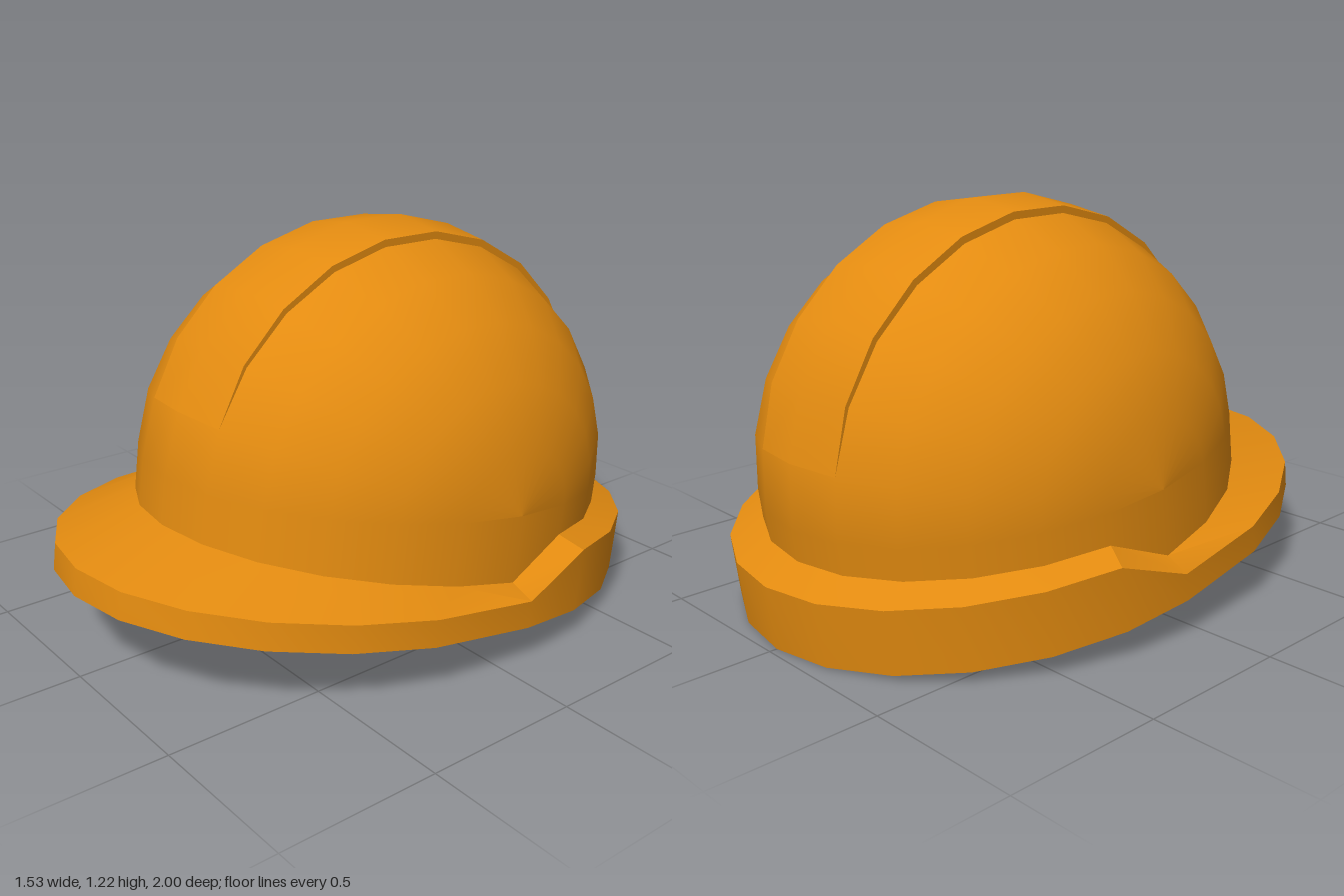
import * as THREE from 'three';
import { toCreasedNormals } from 'three/addons/utils/BufferGeometryUtils.js';

const STEP = Math.PI / 12;                // every curve turns in 15 degree steps
const HALF_WIDTH = 0.69, HEIGHT = 0.76, HALF_LENGTH = 0.8;
const DOME_Y = 0.327, DOME_Z = -0.08;     // dome centre above the rim plane

// Quad strip surface: fn(i, j) returns [x, y, z] for row i and column j
function grid(rows, cols, fn, crease) {
  const pos = [], index = [];
  for (let i = 0; i <= rows; i++)
    for (let j = 0; j <= cols; j++) pos.push(...fn(i, j));
  const id = (i, j) => i * (cols + 1) + j;
  for (let i = 0; i < rows; i++)
    for (let j = 0; j < cols; j++) {
      const a = id(i, j), b = id(i + 1, j), c = id(i + 1, j + 1), d = id(i, j + 1);
      index.push(a, b, d, b, c, d);
    }
  const g = new THREE.BufferGeometry();
  g.setAttribute('position', new THREE.Float32BufferAttribute(pos, 3));
  g.setIndex(index);
  return toCreasedNormals(g, crease);
}

export function createModel() {
  const orange = new THREE.MeshStandardMaterial({ color: 0xe38b10, side: THREE.DoubleSide });
  orange.name = 'safety orange';

  const hat = new THREE.Group();
  hat.name = 'hardHat';
  const add = (name, geometry) => {
    const mesh = new THREE.Mesh(geometry, orange);
    mesh.name = name;
    hat.add(mesh);
  };

  // Dome: half ellipsoid swept around the sideways axis
  const arc = [];
  for (let k = 12; k >= 0; k--)
    arc.push(new THREE.Vector2(Math.sin(k * STEP), HALF_WIDTH * Math.cos(k * STEP)));
  const dome = new THREE.LatheGeometry(arc, 12, Math.PI, Math.PI);
  dome.rotateZ(-Math.PI / 2).scale(1, HEIGHT, HALF_LENGTH).translate(0, DOME_Y, DOME_Z);
  add('dome', dome);

  // Straight wall below the dome, open at the bottom
  const wall = new THREE.CylinderGeometry(1, 1, DOME_Y, 24, 1, true);
  wall.scale(HALF_WIDTH, 1, HALF_LENGTH).translate(0, DOME_Y / 2, DOME_Z);
  add('shellWall', wall);

  // Raised centre ridge that fades into the dome at both ends
  const columns = [[5, false], [5, true], [6, true], [7, true], [7, false]];
  add('ridge', grid(10, 4, (i, j) => {
    const t = (i + 1) * STEP, [k, raised] = columns[j];
    const lift = 0.032 * Math.pow(Math.max(0, Math.sin(i / 10 * Math.PI)), 0.6);
    const r = Math.sin(k * STEP) * (raised ? 1 + lift : 0.985);
    return [
      HALF_WIDTH * Math.cos(k * STEP),
      DOME_Y + HEIGHT * r * Math.sin(t),
      DOME_Z + HALF_LENGTH * r * Math.cos(t),
    ];
  }, 0.6));

  // Brim: thin visor in front, stepping up to a taller band behind
  add('brim', grid(24, 3, (i, j) => {
    const s = Math.sin(i * STEP), c = Math.cos(i * STEP);
    const back = c < -0.01;
    const inner = [HALF_WIDTH * s, DOME_Z + HALF_LENGTH * c];
    const outer = [0.766 * s, c > 0.01 ? 0.997 * c : -0.09 + 0.905 * c];
    const outerTop = back ? 0.2 : 0.085;
    const innerTop = back ? 0.23 : 0.117 + 0.06 * c;
    const [x, z] = j === 0 || j === 3 ? inner : outer;
    return [x, [0, 0, outerTop, innerTop][j], z];
  }, 0.4));

  // The whole hat tips backwards
  hat.rotation.x = -0.1335;
  hat.position.set(0, 0.1325, 0.01);

  const model = new THREE.Group();
  model.name = 'helmet';
  model.add(hat);
  return model;
}
